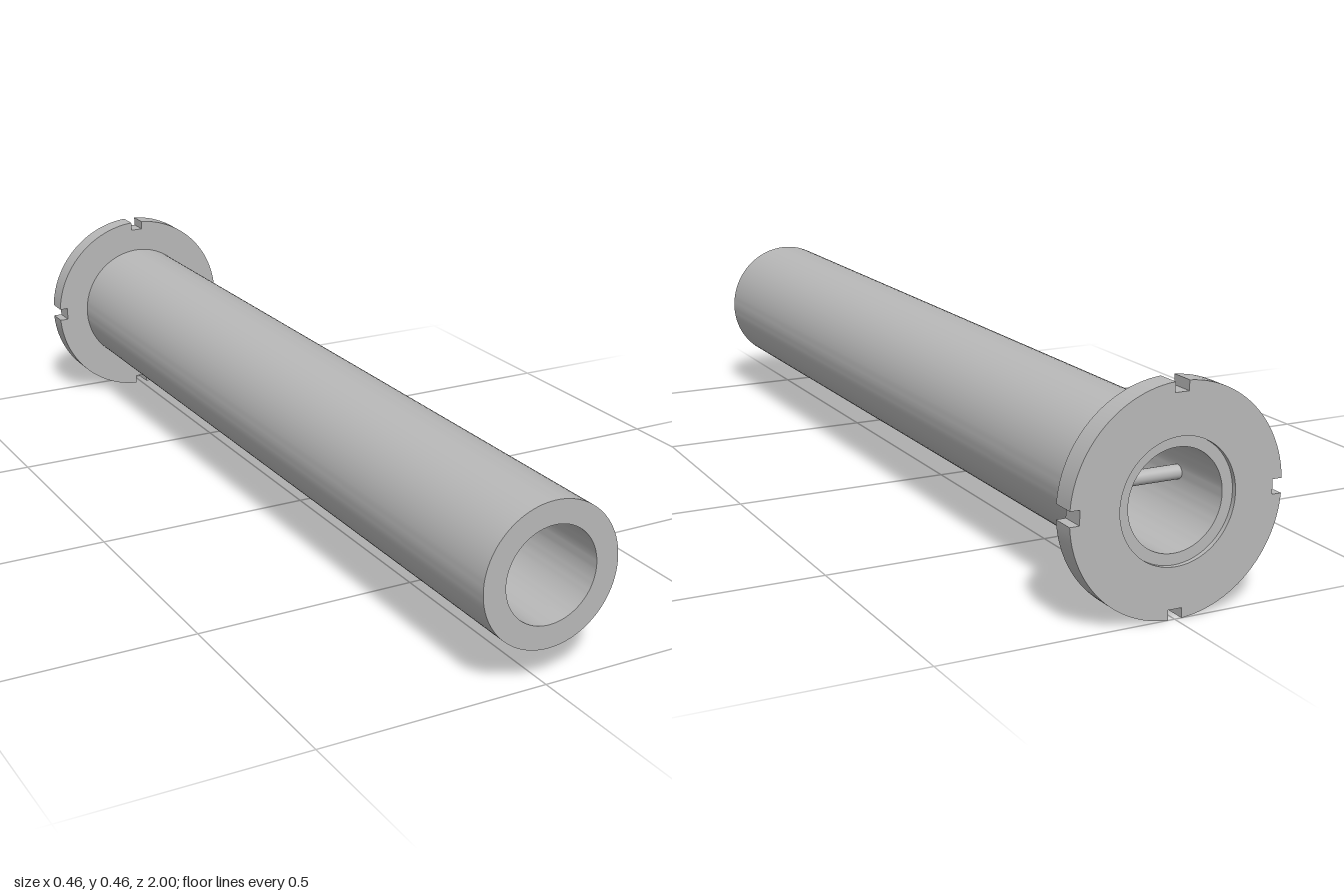
import * as THREE from 'three';
import { toCreasedNormals } from 'three/addons/utils/BufferGeometryUtils.js';

const AXIS_Y = 0.231;      // height of the tube axis
const FLANGE_R = 0.231;
const TUBE_R = 0.153;
const BORE_R = 0.103;
const SEAT_R = 0.126;      // recessed seat in the back of the flange
const CREASE = Math.PI / 6;

// Flange outline: a disc with four square notches in its rim
function flangeShape() {
  const halfSlot = 0.015, slotFloor = 0.21, steps = 24;
  const inset = Math.asin(halfSlot / FLANGE_R);
  const pts = [];
  for (let q = 0; q < 4; q++) {
    const a = q * Math.PI / 2;
    const c = Math.cos(a), s = Math.sin(a);
    for (const side of [-halfSlot, halfSlot]) {
      pts.push(new THREE.Vector2(slotFloor * c - side * s, slotFloor * s + side * c));
    }
    for (let i = 0; i <= steps; i++) {
      const t = a + inset + (Math.PI / 2 - 2 * inset) * i / steps;
      pts.push(new THREE.Vector2(FLANGE_R * Math.cos(t), FLANGE_R * Math.sin(t)));
    }
  }
  const shape = new THREE.Shape(pts);
  shape.holes.push(new THREE.Path().absarc(0, 0, SEAT_R, 0, Math.PI * 2, true));
  return shape;
}

export function createModel() {
  const model = new THREE.Group();
  model.name = 'flangedTube';
  const steel = new THREE.MeshStandardMaterial({ color: 0xb8b8b8 });
  steel.name = 'grey steel';

  const add = (name, geometry, z = 0) => {
    const mesh = new THREE.Mesh(geometry, steel);
    mesh.name = name;
    mesh.position.set(0, AXIS_Y, z);
    model.add(mesh);
  };

  // Hollow tube, with a narrower spigot that sits inside the flange
  const profile = [
    [BORE_R, -0.99], [SEAT_R, -0.99], [SEAT_R, -0.95], [TUBE_R, -0.95],
    [TUBE_R, 1], [BORE_R, 1], [BORE_R, -0.99],
  ].map(([r, z]) => new THREE.Vector2(r, z));
  const tube = new THREE.LatheGeometry(profile, 96).rotateX(Math.PI / 2);
  add('tube', toCreasedNormals(tube, CREASE));

  // Notched flange at the back end
  const flange = new THREE.ExtrudeGeometry(flangeShape(), {
    depth: 0.05, bevelEnabled: false, curveSegments: 48,
  });
  add('flange', toCreasedNormals(flange, CREASE), -1);

  // Cross pin through the bore
  const pin = new THREE.CylinderGeometry(0.015, 0.015, 2 * BORE_R + 0.01, 32).rotateZ(Math.PI / 2);
  add('crossPin', pin, -0.84);

  return model;
}
